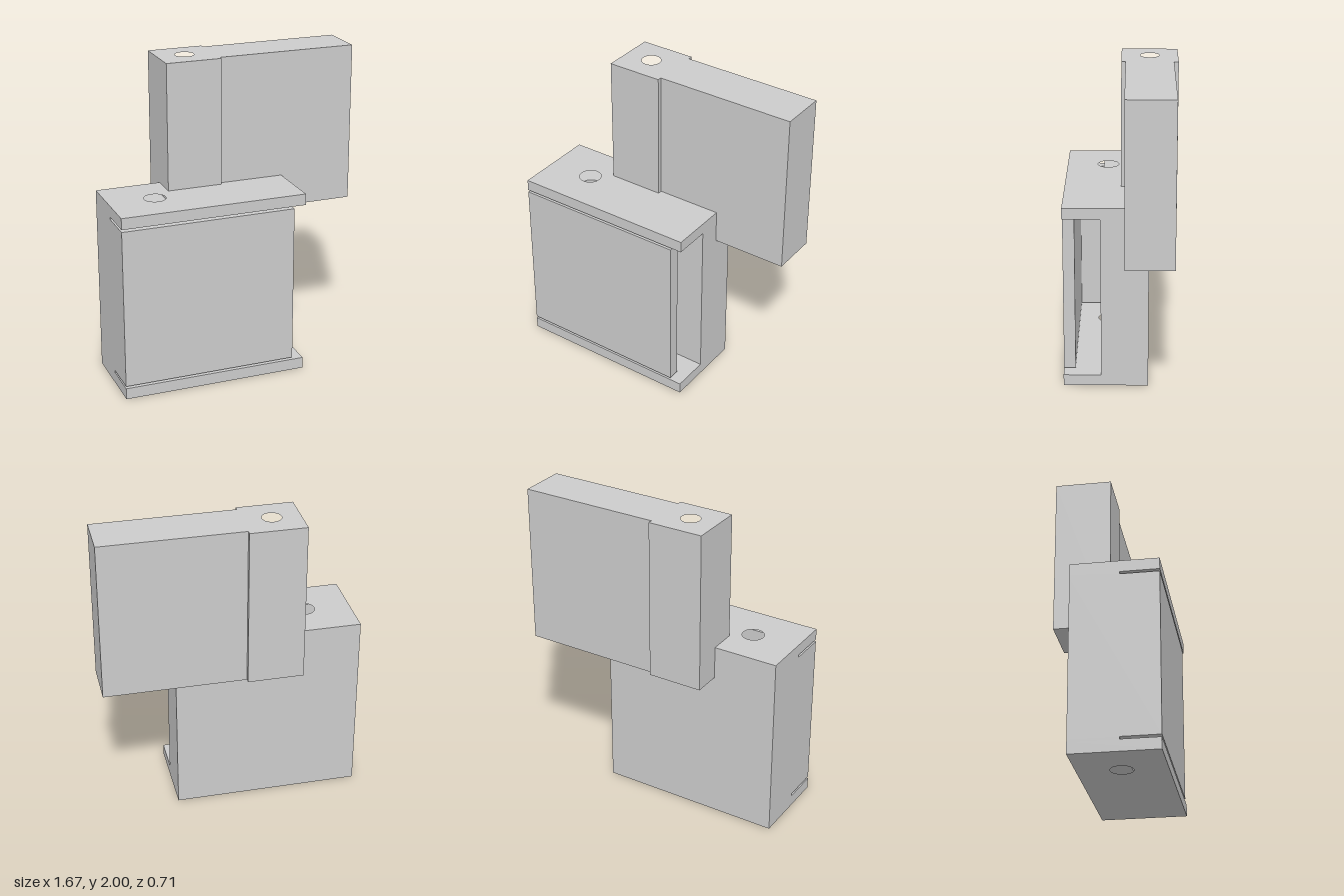
import * as THREE from 'three';

const material = new THREE.MeshStandardMaterial({ color: 0xcccccc, flatShading: true });

// Plan outline from [x, z] points, drawn with shape y = -z
function outline(points) {
  return new THREE.Shape(points.map(([x, z]) => new THREE.Vector2(x, -z)));
}

function drill(shape, x, z, r) {
  const hole = new THREE.Path();
  hole.absarc(x, -z, r, 0, Math.PI * 2, true);
  shape.holes.push(hole);
  return shape;
}

// Raises a plan outline from height y0 to y1
function slab(name, shape, y0, y1) {
  const geometry = new THREE.ExtrudeGeometry(shape, { depth: y1 - y0, bevelEnabled: false, curveSegments: 24 });
  geometry.rotateX(-Math.PI / 2);
  geometry.translate(0, y0, 0);
  const mesh = new THREE.Mesh(geometry, material);
  mesh.name = name;
  return mesh;
}

export function createModel() {
  const model = new THREE.Group();
  model.name = 'clipBracketWithLeaf';

  const L = -0.833, R = 0.355, back = -0.178, wall = 0.12, front = 0.357;
  const pin = { x: -0.535, z: 0.087, r: 0.069 };
  const plateY = 0.072, clipY = 0.087, height = 1.19;

  const plate = () => drill(outline([[L, back], [R, back], [R, front], [L, front]]), pin.x, pin.z, pin.r);

  // Back wall plan; the pin bore breaks through its front face
  const a = Math.asin((wall - pin.z) / pin.r);
  const core = (clipPoints) => {
    const shape = new THREE.Shape();
    shape.moveTo(R, -wall);
    shape.lineTo(R, -back);
    shape.lineTo(L, -back);
    clipPoints.forEach(([x, z]) => shape.lineTo(x, -z));
    shape.absarc(pin.x, -pin.z, pin.r, Math.PI + a, -a, true);
    shape.lineTo(R, -wall);
    return shape;
  };
  const clip = [[L, front], [0.28, front], [0.28, 0.283], [L + 0.075, 0.283], [L + 0.075, wall]];

  // Bracket: end plates, narrow slits, and the wall with its folded clip
  const bracket = new THREE.Group();
  bracket.name = 'bracket';
  bracket.add(
    slab('bottomPlate', plate(), 0, plateY),
    slab('lowerSlitWall', core([[L, wall]]), plateY, clipY),
    slab('wallAndClip', core(clip), clipY, height - clipY),
    slab('upperSlitWall', core([[L, wall]]), height - clipY, height - plateY),
    slab('topPlate', plate(), height - plateY, height)
  );
  model.add(bracket);

  // Raised leaf: thick bored end block stepping down to a thinner panel
  const leaf = outline([
    [-0.417, -0.357], [-0.063, -0.357], [-0.063, -0.328], [0.833, -0.328],
    [0.833, -0.03], [-0.063, -0.03], [-0.063, -0.003], [-0.417, -0.003]
  ]);
  model.add(slab('leaf', drill(leaf, -0.24, -0.18, 0.06), 0.98, 2));

  return model;
}
